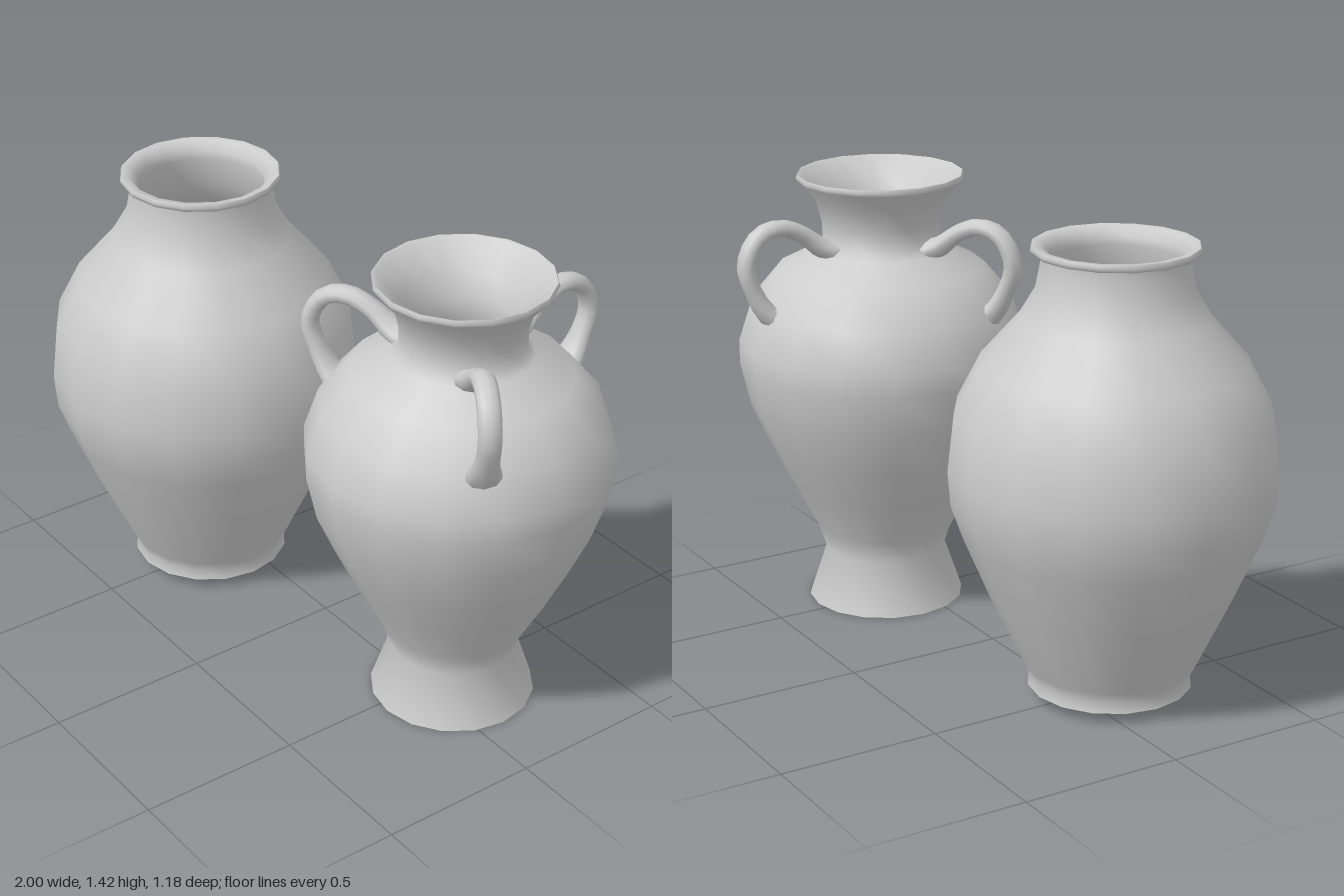
import * as THREE from 'three';
import { toCreasedNormals } from 'three/addons/utils/BufferGeometryUtils.js';

const clay = new THREE.MeshStandardMaterial({ color: 0xcccccc });

// Turned vessel: profile runs base centre -> outside -> lip -> inside -> floor centre
function turned(name, profile) {
  const points = profile.map(([r, y]) => new THREE.Vector2(r, y));
  const mesh = new THREE.Mesh(toCreasedNormals(new THREE.LatheGeometry(points, 16), 1.0), clay);
  mesh.name = name;
  return mesh;
}

// Loop handle in the x/y plane, its section widening into flat pads at both ends
function handleGeometry() {
  const curve = new THREE.CatmullRomCurve3([
    [0.16, 1.18], [0.215, 1.2], [0.28, 1.25], [0.357, 1.28], [0.43, 1.26],
    [0.476, 1.175], [0.45, 1.085], [0.41, 1.015], [0.375, 0.985],
  ].map(([x, y]) => new THREE.Vector3(x, y, 0)));
  const rings = 18, sides = 10, pos = [], index = [];
  for (let i = 0; i <= rings; i++) {
    const t = i / rings;
    const p = curve.getPointAt(t), d = curve.getTangentAt(t);
    const flare = Math.max(0, 1 - Math.min(t, 1 - t) / 0.24) ** 1.5;
    const thick = 0.027 + 0.012 * flare, wide = 0.034 + 0.032 * flare;
    for (let j = 0; j < sides; j++) {
      const a = (j / sides) * Math.PI * 2;
      const n = Math.cos(a) * thick;
      pos.push(p.x - d.y * n, p.y + d.x * n, Math.sin(a) * wide);
      if (i < rings) {
        const k = (j + 1) % sides;
        const A = i * sides + j, B = i * sides + k;
        index.push(A, B, A + sides, B, B + sides, A + sides);
      }
    }
  }
  // End caps
  const last = rings * sides;
  for (let j = 1; j < sides - 1; j++) index.push(0, j + 1, j, last, last + j, last + j + 1);
  const g = new THREE.BufferGeometry();
  g.setAttribute('position', new THREE.Float32BufferAttribute(pos, 3));
  g.setIndex(index);
  g.computeVertexNormals();
  return g;
}

export function createModel() {
  const model = new THREE.Group();
  model.name = 'twoVases';

  // Wide plain jar
  const jar = new THREE.Group();
  jar.name = 'plainJar';
  jar.position.set(-0.512, 0, 0.1);
  jar.add(turned('jarBody', [
    [0, 0.037], [0.249, 0.037], [0.242, 0.07], [0.26, 0.105], [0.365, 0.33],
    [0.445, 0.52], [0.48, 0.62], [0.489, 0.725], [0.47, 0.9], [0.398, 1.04],
    [0.28, 1.175], [0.236, 1.25], [0.219, 1.34], [0.219, 1.362],
    [0.244, 1.368], [0.249, 1.38], [0.244, 1.39], [0.222, 1.388],
    [0.198, 1.36], [0.198, 1.335], [0.212, 1.24], [0.256, 1.165],
    [0.372, 1.03], [0.442, 0.89], [0.46, 0.725], [0.45, 0.63],
    [0.415, 0.53], [0.335, 0.34], [0.225, 0.1], [0.21, 0.075], [0, 0.075],
  ]));
  model.add(jar);

  // Footed vase with flared mouth
  const vase = new THREE.Group();
  vase.name = 'handledVase';
  vase.position.set(0.54, 0, -0.088);
  vase.add(turned('vaseBody', [
    [0, 0], [0.252, 0], [0.195, 0.17], [0.22, 0.245], [0.295, 0.385],
    [0.366, 0.53], [0.428, 0.67], [0.459, 0.81], [0.459, 0.885], [0.418, 1.01],
    [0.33, 1.115], [0.21, 1.175], [0.186, 1.2], [0.186, 1.26], [0.206, 1.335],
    [0.262, 1.395], [0.267, 1.405], [0.262, 1.416], [0.252, 1.412],
    [0.185, 1.33], [0.158, 1.26], [0.15, 1.19], [0.18, 1.15], [0.31, 1.085],
    [0.388, 1.0], [0.429, 0.88], [0.429, 0.81], [0.398, 0.675],
    [0.335, 0.54], [0.19, 0.26], [0.145, 0.19], [0.098, 0.16], [0, 0.16],
  ]));

  // Three handles spaced evenly round the shoulder
  const geometry = handleGeometry();
  ['backHandle', 'frontRightHandle', 'frontLeftHandle'].forEach((name, i) => {
    const handle = new THREE.Mesh(geometry, clay);
    handle.name = name;
    handle.rotation.y = Math.PI / 2 + (i * Math.PI * 2) / 3;
    vase.add(handle);
  });
  model.add(vase);

  return model;
}
